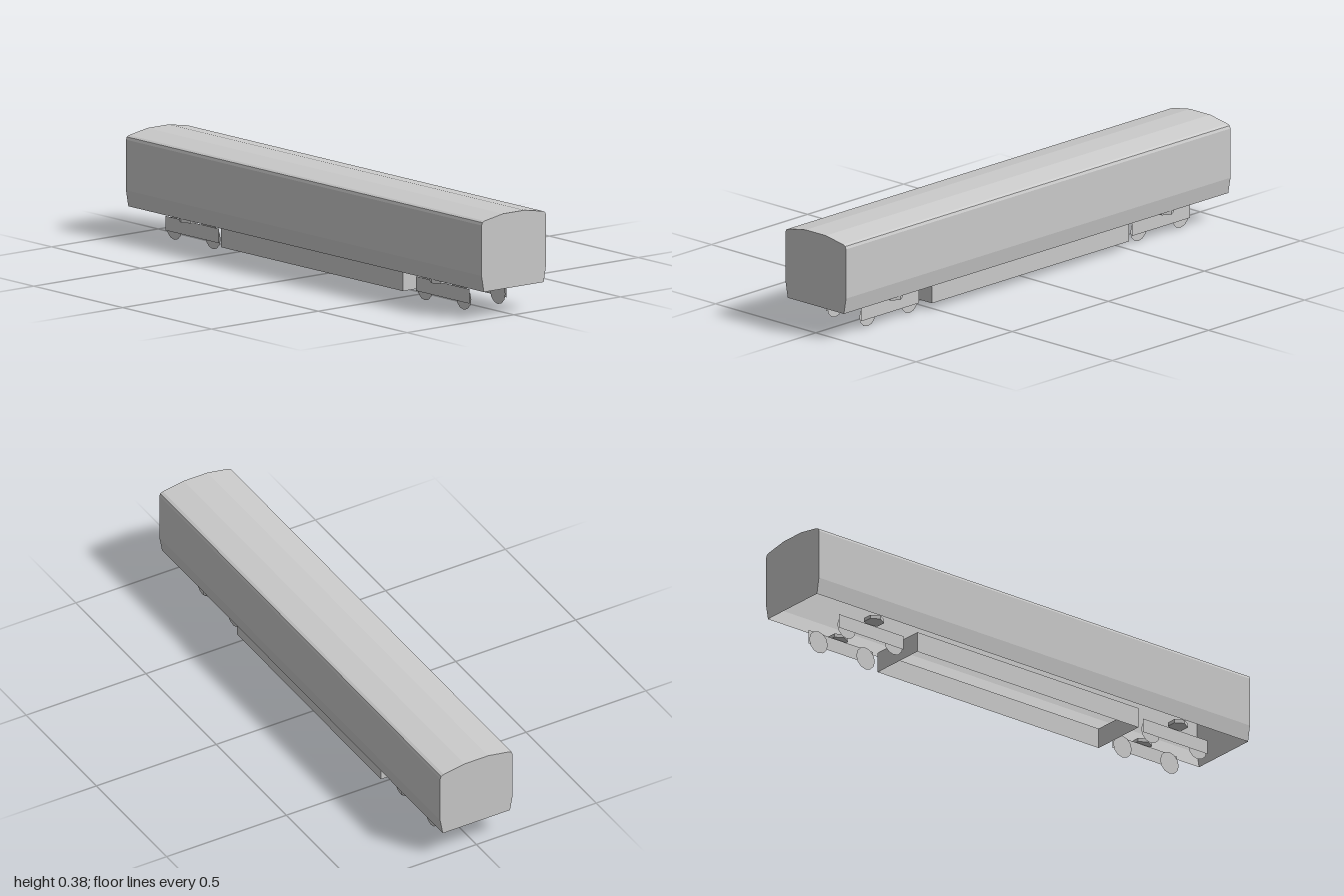
import * as THREE from 'three';

const material = new THREE.MeshStandardMaterial({
  color: 0xcccccc, flatShading: true, side: THREE.DoubleSide,
});

function add(parent, name, geometry, x = 0, y = 0, z = 0) {
  const mesh = new THREE.Mesh(geometry, material);
  mesh.name = name;
  mesh.position.set(x, y, z);
  parent.add(mesh);
  return mesh;
}

// Cross-section of the body: left sill, over the roof, to the right sill
const half = [
  [0.14, 0.102], [0.151, 0.162], [0.151, 0.348],
  [0.147, 0.358], [0.137, 0.363], [0.05, 0.378],
];
const profile = [...half, ...half.slice().reverse().map(([x, y]) => [-x, y])];

function createBody() {
  const body = new THREE.Group();
  body.name = 'body';

  // Side walls and roof: one folded sheet, open underneath
  const shell = new THREE.PlaneGeometry(1, 1, profile.length - 1, 1);
  const position = shell.attributes.position;
  for (let i = 0; i < position.count; i++) {
    const [x, y] = profile[i % profile.length];
    position.setXYZ(i, x, y, i < profile.length ? 1 : -1);
  }
  shell.computeVertexNormals();
  add(body, 'wallsAndRoof', shell);

  // Flat end walls
  const endShape = new THREE.Shape(profile.map(([x, y]) => new THREE.Vector2(x, y)));
  const end = new THREE.ShapeGeometry(endShape);
  add(body, 'frontWall', end, 0, 0, 1);
  add(body, 'backWall', end.clone().rotateY(Math.PI), 0, 0, -1);
  return body;
}

function createBogie(name, z) {
  const bogie = new THREE.Group();
  bogie.name = name;
  bogie.position.z = z;
  for (const side of [1, -1]) {
    const turn = side * Math.PI / 2;
    // Thin side frame with the wheels just inside it
    add(bogie, 'sideFrame', new THREE.PlaneGeometry(0.3, 0.053).rotateY(turn), side * 0.087, 0.056);
    for (const axle of [1, -1]) {
      const wheel = new THREE.CircleGeometry(0.043, 12).rotateY(turn);
      add(bogie, 'wheel', wheel, side * 0.08, 0.043, axle * 0.109);
    }
    // Six-sided suspension pad under the body
    const pad = new THREE.CylinderGeometry(0.037, 0.037, 0.014, 6, 1, false, Math.PI / 2);
    add(bogie, 'suspensionPad', pad, side * 0.103, 0.095);
  }
  return bogie;
}

export function createModel() {
  const model = new THREE.Group();
  model.name = 'railCarriage';
  model.add(createBody());

  // Underfloor skirt: four walls, open at top and bottom
  const r = Math.SQRT1_2;
  const skirt = new THREE.CylinderGeometry(r, r, 1, 4, 1, true, Math.PI / 4);
  skirt.scale(0.226, 0.077, 1.025);
  add(model, 'underfloorSkirt', skirt, 0, 0.0635, 0);

  model.add(createBogie('frontBogie', 0.705));
  model.add(createBogie('backBogie', -0.705));
  return model;
}
